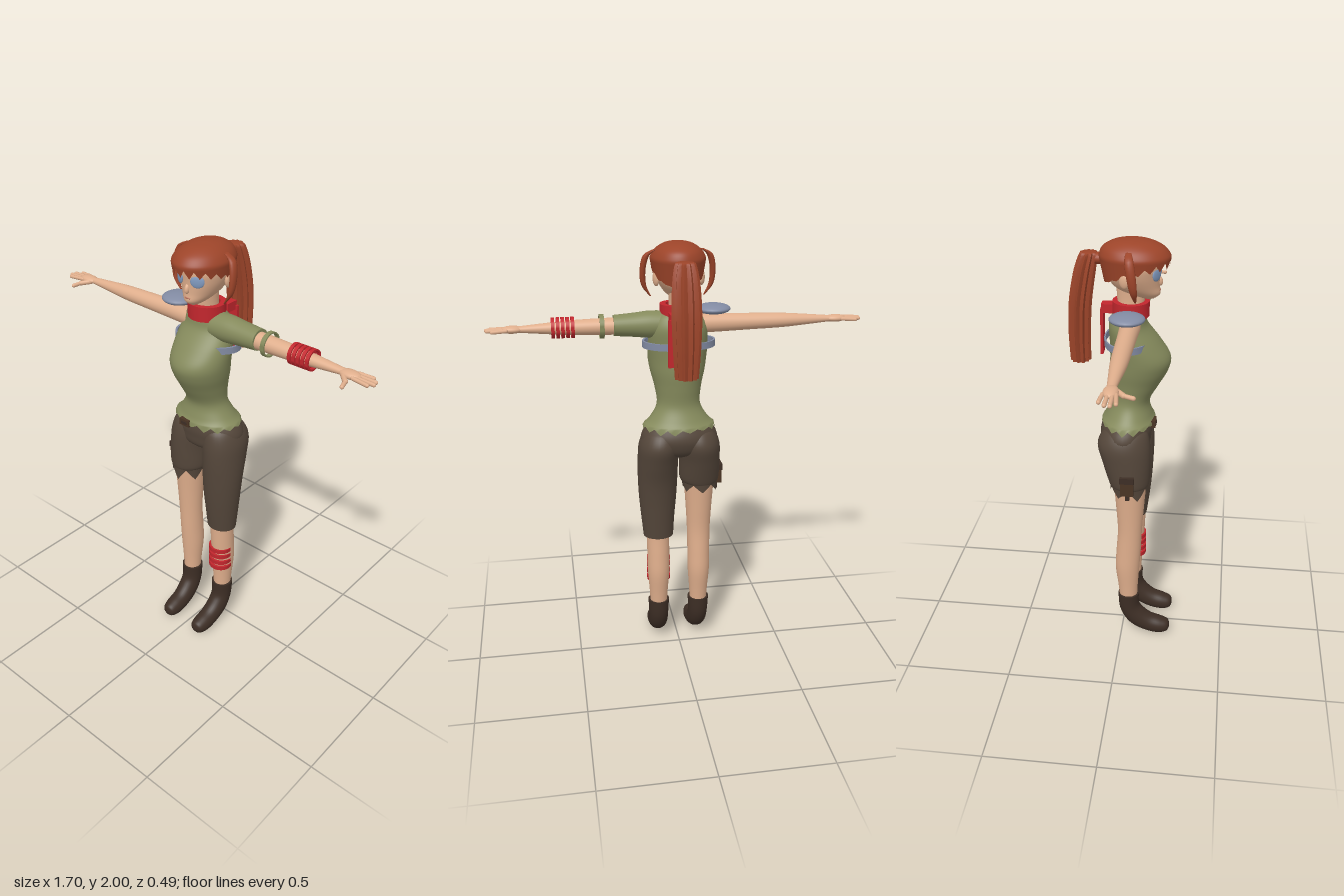
import * as THREE from 'three';
import { toCreasedNormals } from 'three/addons/utils/BufferGeometryUtils.js';

const mat = (name, color, side = THREE.DoubleSide) => {
  const m = new THREE.MeshStandardMaterial({ color, side });
  m.name = name;
  return m;
};

// Smooth skin through elliptical rings listed bottom to top: [x, y, z, rx, rz, tilt]
function loft(rings, { seg = 32, steps = 5, hem, tuck = 0, star, caps = true } = {}) {
  const rows = [], pos = [], idx = [], last = rings.length - 1;
  const at = (i) => rings[Math.max(0, Math.min(last, i))];
  for (let i = 0; i <= last * steps; i++) {
    const k = Math.min(last - 1, Math.floor(i / steps)), t = i / steps - k;
    const row = [];
    for (let c = 0; c < 6; c++) {
      const [a, b, d, e] = [at(k - 1), at(k), at(k + 1), at(k + 2)].map((r) => r[c] ?? 0);
      row.push(b + 0.5 * t * (d - a + t * (2 * a - 5 * b + 4 * d - e + t * (3 * (b - d) + e - a))));
    }
    rows.push(row);
  }
  rows.forEach(([x, y, z, rx, rz, tilt], j) => {
    for (let i = 0; i < seg; i++) {
      const a = (i / seg) * Math.PI * 2;
      const dy = hem && j === 0 ? hem(a) : 0;
      const f = (star ? star(a) : 1) * (1 + tuck * dy);
      const lx = Math.sin(a) * rx * f, lz = Math.cos(a) * rz * f;
      pos.push(x + lx, y + dy - Math.sin(tilt) * lz, z + Math.cos(tilt) * lz);
    }
  });
  for (let j = 0; j < rows.length - 1; j++) for (let i = 0; i < seg; i++) {
    const n = (i + 1) % seg, a = j * seg + i, b = j * seg + n;
    idx.push(a, b, b + seg, a, b + seg, a + seg);
  }
  if (caps) for (const j of hem ? [rows.length - 1] : [0, rows.length - 1]) {
    const base = pos.length / 3;
    pos.push(...pos.slice(j * seg * 3, (j + 1) * seg * 3), ...rows[j].slice(0, 3));
    for (let i = 0; i < seg; i++) {
      const a = base + i, b = base + ((i + 1) % seg);
      idx.push(base + seg, ...(j ? [a, b] : [b, a]));
    }
  }
  const g = new THREE.BufferGeometry();
  g.setAttribute('position', new THREE.Float32BufferAttribute(pos, 3));
  g.setIndex(idx);
  g.computeVertexNormals();
  return g;
}

// Hollow band around y
function band(r, h, thick) {
  const p = [[r - thick, -h / 2], [r, -h / 2], [r, h / 2], [r - thick, h / 2], [r - thick, -h / 2]];
  return toCreasedNormals(new THREE.LatheGeometry(p.map((q) => new THREE.Vector2(...q)), 36), 0.6);
}

const zigzag = (a, teeth) => Math.abs((((a * teeth) / (2 * Math.PI)) % 1) * 2 - 1);

export function createModel() {
  const root = new THREE.Group();
  const skin = mat('skin', 0xdfae8c), hair = mat('hair red', 0x9c4429), red = mat('cloth red', 0xc2262d);
  const olive = mat('shirt olive', 0x858a5c), brown = mat('shorts brown', 0x54463a);
  const dark = mat('boot brown', 0x3d2e25), steel = mat('steel blue', 0x828ba3);
  const blue = mat('eye blue', 0x7d96ba), leather = mat('leather', 0x4a3424), lip = mat('lip', 0xb9745f);

  const add = (name, geo, material, p = [0, 0, 0], scale = [1, 1, 1], rot = [0, 0, 0]) => {
    const m = new THREE.Mesh(geo, material);
    m.name = name;
    m.position.set(...p);
    m.scale.set(...scale);
    m.rotation.set(...rot);
    root.add(m);
    return m;
  };
  const ball = new THREE.SphereGeometry(1, 24, 16);
  const rod = (name, a, b, r, material) => {
    const va = new THREE.Vector3(...a), d = new THREE.Vector3(...b).sub(va);
    const m = add(name, new THREE.CapsuleGeometry(r, d.length(), 4, 10), material);
    m.position.copy(va).addScaledVector(d, 0.5);
    m.quaternion.setFromUnitVectors(new THREE.Vector3(0, 1, 0), d.normalize());
  };

  // Shirt with ragged hem
  add('shirt', loft([
    [0, 1.175, 0.022, 0.168, 0.122], [0, 1.205, 0.025, 0.135, 0.104], [0, 1.27, 0.033, 0.1, 0.085],
    [0, 1.35, 0.052, 0.108, 0.108], [0, 1.42, 0.068, 0.125, 0.13], [0, 1.48, 0.073, 0.134, 0.134],
    [0, 1.55, 0.05, 0.136, 0.112], [0, 1.62, 0.02, 0.128, 0.086], [0, 1.665, 0.02, 0.112, 0.074],
    [0, 1.69, 0.025, 0.085, 0.062], [0, 1.705, 0.03, 0.05, 0.045],
  ], { seg: 60, hem: (a) => -0.028 * zigzag(a, 15) * (0.7 + 0.3 * Math.sin(3 * a)) }), olive);
  add('chestStrap', band(1, 0.03, 0.06), steel, [0, 1.555, 0.022], [0.165, 1, 0.108]);
  add('beltBuckle', new THREE.BoxGeometry(0.055, 0.032, 0.02), leather, [-0.035, 1.168, 0.14]);
  add('buckleInset', new THREE.BoxGeometry(0.028, 0.014, 0.008), dark, [-0.035, 1.168, 0.149]);

  // Shorts: hips, one long leg, one torn leg
  add('hips', loft([
    [0, 1.02, 0.02, 0.06, 0.05], [0, 1.05, 0.018, 0.15, 0.1], [0, 1.1, 0.012, 0.178, 0.116],
    [0, 1.14, 0.014, 0.172, 0.116], [0, 1.19, 0.02, 0.14, 0.1],
  ], { seg: 40 }), brown);
  const thigh = [
    [0.1, 0.9, 0.035, 0.094, 0.096], [0.099, 1, 0.022, 0.095, 0.112],
    [0.093, 1.08, 0.01, 0.096, 0.12], [0.085, 1.14, 0.014, 0.08, 0.1], [0.08, 1.17, 0.02, 0.05, 0.06],
  ];
  add('longTrouserLeg', loft([[0.098, 0.6, 0.038, 0.072, 0.064], [0.1, 0.7, 0.04, 0.08, 0.075],
    [0.1, 0.8, 0.04, 0.089, 0.085], ...thigh]), brown);
  add('tornTrouserLeg', loft([[-0.103, 0.875, 0.037, 0.082, 0.088],
    ...thigh.map(([x, ...r]) => [-x, ...r])],
    { seg: 48, hem: (a) => -0.06 * zigzag(a, 6) * (0.8 + 0.2 * Math.cos(a)) }), brown);
  add('thighPouch', new THREE.BoxGeometry(0.03, 0.09, 0.06), leather, [-0.19, 0.91, 0.035]);
  add('pouchFlap', new THREE.BoxGeometry(0.036, 0.03, 0.066), dark, [-0.19, 0.945, 0.035]);
  add('pouchStrap', new THREE.BoxGeometry(0.01, 0.16, 0.02), dark, [-0.182, 0.91, 0.035]);

  for (const s of [1, -1]) {
    const side = s > 0 ? 'left' : 'right';
    const mirror = (rings) => rings.map(([x, ...r]) => [s * x, ...r]);

    // Legs and boots
    add(side + 'Leg', loft(mirror([
      [0.1, 0.2, 0.035, 0.04, 0.042], [0.1, 0.29, 0.032, 0.045, 0.048], [0.1, 0.4, 0.029, 0.053, 0.058],
      [0.1, 0.5, 0.034, 0.054, 0.059], [0.1, 0.62, 0.04, 0.056, 0.058],
      [0.1, 0.75, 0.04, 0.063, 0.066], [0.1, 0.9, 0.04, 0.074, 0.078],
    ])), skin);
    add(side + 'Boot', loft(mirror([
      [0.095, 0.043, 0.242, 0.008, 0.008, -1.55], [0.095, 0.043, 0.23, 0.032, 0.031, -1.5],
      [0.096, 0.046, 0.19, 0.044, 0.044, -1.4], [0.097, 0.062, 0.13, 0.046, 0.048, -1.15],
      [0.099, 0.1, 0.075, 0.048, 0.052, -0.75], [0.1, 0.16, 0.04, 0.048, 0.05, -0.25],
      [0.1, 0.24, 0.035, 0.052, 0.051, 0],
    ])), dark);

    // Arms and hands
    add(side + 'Arm', loft([
      [0, 0.08, 0, 0.044, 0.045], [0, 0.2, 0, 0.041, 0.041], [0, 0.32, 0, 0.037, 0.039],
      [0, 0.48, 0, 0.032, 0.035], [0, 0.62, 0, 0.021, 0.024], [0, 0.69, 0, 0.015, 0.019], [0, 0.72, 0, 0.014, 0.02],
    ]), skin, [0, 1.637, 0.035], [1, 1, 1], [0, 0, (-s * Math.PI) / 2]);
    add(side + 'Palm', ball, skin, [s * 0.73, 1.637, 0.037], [0.05, 0.017, 0.03]);
    [[0.01, 0.004, 0.815], [0.029, 0.027, 0.838], [0.047, 0.048, 0.842], [0.06, 0.068, 0.825]].forEach(([z0, z1, x]) =>
      rod(side + 'Finger', [s * 0.755, 1.637, z0], [s * x, 1.634, z1], 0.0085, skin));
    rod(side + 'Thumb', [s * 0.705, 1.634, 0.05], [s * 0.74, 1.628, 0.085], 0.011, skin);
    rod(side + 'ThumbTip', [s * 0.74, 1.628, 0.085], [s * 0.75, 1.624, 0.122], 0.009, skin);

    // Ears, eyes and side locks
    add(side + 'Ear', ball, skin, [s * 0.101, 1.845, 0.012], [0.013, 0.034, 0.024], [0, s * 0.3, 0]);
    add(side + 'Eye', ball, blue, [s * 0.047, 1.86, 0.142], [0.03, 0.027, 0.007], [-0.08, s * 0.5, 0]);
    add(side + 'HairLock', loft(mirror([
      [0.12, 1.76, 0.06, 0.003, 0.004], [0.15, 1.81, 0.055, 0.011, 0.015], [0.155, 1.88, 0.045, 0.013, 0.02],
      [0.14, 1.94, 0.035, 0.014, 0.019], [0.105, 1.965, 0.03, 0.008, 0.012],
    ]), { seg: 12 }), hair);
  }

  // Sleeve, arm ring, wrist and shin wraps, shoulder pad
  const sideways = [0, 0, -Math.PI / 2];
  add('sleeve', loft([[0, 0.06, 0, 0.058, 0.062], [0, 0.13, 0, 0.06, 0.06], [0, 0.2, 0, 0.053, 0.055],
    [0, 0.29, 0, 0.046, 0.05]]), olive, [0, 1.64, 0.033], [1, 1, 1], sideways);
  add('armRing', band(0.054, 0.02, 0.006), olive, [0.342, 1.638, 0.035], [1, 1, 1], sideways);
  for (let i = 0; i < 5; i++)
    add('wristWrap', band(0.046, 0.015, 0.008), red, [0.469 + i * 0.0215, 1.638, 0.035], [1, 1, 1], sideways);
  for (const y of [0.362, 0.396, 0.432, 0.465])
    add('shinWrap', band(0.057, 0.02, 0.012), red, [0.098, y, 0.047], [1, 1, 0.95]);
  add('shoulderPad', ball, steel, [-0.158, 1.702, 0.03], [0.077, 0.023, 0.077]);

  // Neck and scarf
  add('neck', loft([[0, 1.68, 0.028, 0.045, 0.055], [0, 1.74, 0.03, 0.042, 0.06], [0, 1.81, 0.03, 0.045, 0.065]]), skin);
  add('scarf', band(0.083, 0.066, 0.025), red, [0, 1.698, 0.03], [1, 1, 0.97]);
  add('scarfTail', new THREE.BoxGeometry(0.06, 0.21, 0.012), red, [0.035, 1.578, -0.1]);
  add('scarfKnot', new THREE.BoxGeometry(0.05, 0.04, 0.06), red, [0.03, 1.685, -0.072]);

  // Head and face
  add('head', loft([
    [0, 1.745, 0.105, 0.018, 0.025], [0, 1.765, 0.085, 0.046, 0.07], [0, 1.8, 0.053, 0.075, 0.1],
    [0, 1.85, 0.04, 0.099, 0.114], [0, 1.9, 0.037, 0.107, 0.12], [0, 1.95, 0.035, 0.088, 0.1], [0, 1.98, 0.035, 0.045, 0.05],
  ], { seg: 40 }), skin);
  add('nose', ball, skin, [0, 1.822, 0.151], [0.011, 0.022, 0.014], [-0.25, 0, 0]);
  add('mouth', ball, lip, [0, 1.782, 0.15], [0.018, 0.005, 0.007]);

  // Hair cap with pointed fringe, lower at the nape
  add('hairCap', loft([
    [0, 1.915, 0.046, 0.121, 0.152], [0, 1.935, 0.045, 0.12, 0.151], [0, 1.965, 0.04, 0.1, 0.13],
    [0, 1.988, 0.037, 0.066, 0.086], [0, 1.998, 0.035, 0.03, 0.035], [0, 2, 0.035, 0.003, 0.003],
  ], {
    seg: 72, tuck: 1.4,
    hem: (a) => -0.1 * ((1 - Math.cos(a)) / 2) ** 1.5 - 0.035 * zigzag(a, 18) * (0.5 + 0.5 * Math.cos(a)),
  }), hair);

  // Ridged ponytail
  add('ponytail', toCreasedNormals(loft([
    [0, 1.448, -0.193, 0.047, 0.041], [0, 1.58, -0.196, 0.055, 0.044], [0, 1.72, -0.19, 0.059, 0.045],
    [0, 1.85, -0.17, 0.054, 0.043], [0, 1.925, -0.152, 0.042, 0.037], [0, 1.937, -0.15, 0.03, 0.028],
  ], { seg: 44, star: (a) => 0.88 + 0.24 * zigzag(a, 11) }), 0.5), hair);
  add('hairTie', ball, hair, [0, 1.91, -0.11], [0.03, 0.025, 0.04]);

  return root;
}
